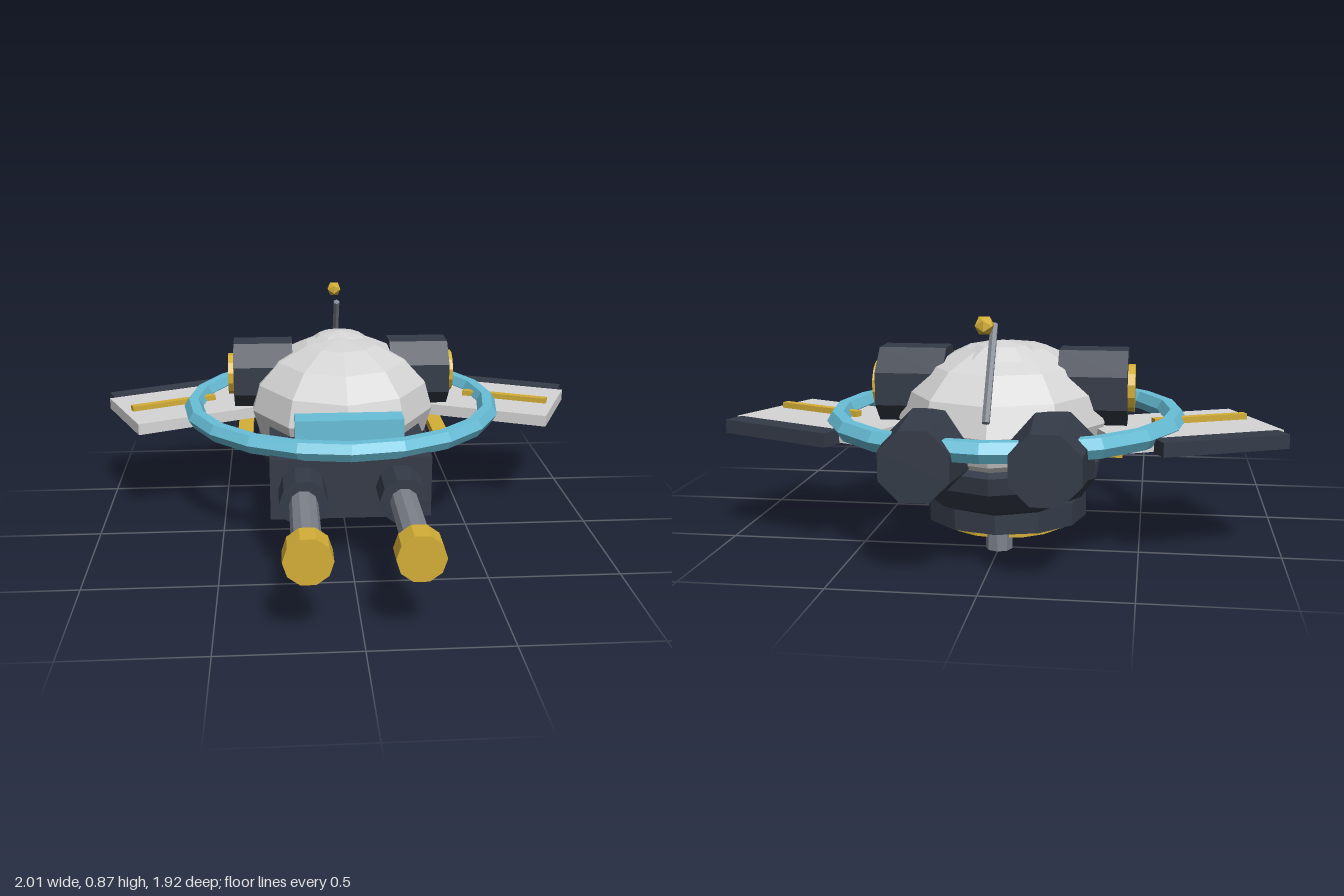
import * as THREE from 'three';

export function createModel() {
  const model = new THREE.Group();
  model.name = 'hoverCraft';

  const mat = (name, color) => {
    const m = new THREE.MeshStandardMaterial({ color, flatShading: true });
    m.name = name;
    return m;
  };
  const shell = mat('light grey', 0xd6d6d6);
  const dark = mat('dark slate', 0x343b48);
  const cyan = mat('cyan', 0x68bfd8);
  const gold = mat('gold', 0xd4af37);
  const steel = mat('steel grey', 0x7d828c);

  const add = (name, geometry, material, x, y, z, parent = model) => {
    const mesh = new THREE.Mesh(geometry, material);
    mesh.name = name;
    mesh.position.set(x, y, z);
    parent.add(mesh);
    return mesh;
  };
  const box = (w, h, d) => new THREE.BoxGeometry(w, h, d);
  const cyl = (rTop, rBottom, h, sides) => new THREE.CylinderGeometry(rTop, rBottom, h, sides);
  // Cylinder lying along z, with the first radius at the front
  const cylZ = (rFront, rBack, length, sides) =>
    cyl(rFront, rBack, length, sides).rotateY(Math.PI / sides).rotateX(Math.PI / 2);
  // Cylinder lying along x, with flat sides up and down
  const cylX = (r, length, sides) =>
    cyl(r, r, length, sides).rotateY(Math.PI / sides).rotateZ(Math.PI / 2);
  // Faceted ellipsoid with a vertex on the z axis
  const ellipsoid = (rx, ry, rz, rows) =>
    new THREE.SphereGeometry(1, 10, rows).rotateY(Math.PI / 2).scale(rx, ry, rz);

  // Upper shell and crown
  add('upperShell', ellipsoid(0.39, 0.27, 0.48, 8), shell, 0, 0.46, -0.32);
  add('crown', ellipsoid(0.18, 0.123, 0.2, 6), shell, 0, 0.62, -0.4);

  // Dark lower hull
  const profile = [[0, 0.14], [0.65, 0.15], [0.82, 0.18], [0.98, 0.26], [1, 0.32], [0.85, 0.35], [0, 0.35]];
  const hull = new THREE.LatheGeometry(profile.map(([r, y]) => new THREE.Vector2(r, y)), 10);
  hull.scale(0.37, 1, 0.44);
  add('lowerHull', hull, dark, 0, 0, -0.33);

  // Base ring, gold plate and three feet
  add('baseRing', cyl(0.3, 0.3, 0.085, 12), dark, 0, 0.122, -0.315);
  add('basePlate', cyl(0.225, 0.225, 0.05, 16), gold, 0, 0.07, -0.315);
  for (let i = 0; i < 3; i++) {
    const a = Math.PI / 6 + (i * Math.PI * 2) / 3;
    add('foot', cyl(0.048, 0.048, 0.07, 8), steel,
      0.195 * Math.cos(a), 0.035, -0.315 + 0.195 * Math.sin(a));
  }

  // Nose block and front visor
  add('noseBlock', box(0.61, 0.24, 0.49), dark, 0, 0.3, 0.075);
  add('visor', box(0.415, 0.1, 0.1), cyan, 0, 0.493, 0.193);

  // Surrounding ring
  const ring = new THREE.TorusGeometry(0.623, 0.04, 6, 20).rotateX(Math.PI / 2);
  add('ring', ring, cyan, 0, 0.449, -0.295);

  for (const s of [1, -1]) {
    // Front barrel
    const barrel = new THREE.Group();
    barrel.name = s > 0 ? 'leftBarrel' : 'rightBarrel';
    barrel.position.set(s * 0.183, 0.302, 0);
    model.add(barrel);
    add('sleeve', cylZ(0.09, 0.09, 0.2, 10), dark, 0, 0, 0.372, barrel);
    add('tube', cylZ(0.053, 0.053, 0.44, 10), steel, 0, 0, 0.66, barrel);
    add('muzzle', cylZ(0.084, 0.084, 0.095, 10), gold, 0, 0, 0.91, barrel);

    // Side pod with gold cap
    add('sidePod', cylX(0.153, 0.245, 8), dark, s * 0.327, 0.57, -0.36);
    add('sidePodCap', cylX(0.086, 0.03, 12), gold, s * 0.46, 0.57, -0.36);

    // Rear thruster
    add('thruster', cylZ(0.153, 0.127, 0.262, 8), dark, s * 0.21, 0.4, -0.82);

    // Gold rail beside the hull
    add('sideRail', box(0.062, 0.032, 0.33), gold, s * 0.405, 0.35, -0.295);

    // Wing, with its rear flap and gold strip
    const wing = new THREE.Group();
    wing.name = s > 0 ? 'leftWing' : 'rightWing';
    wing.position.set(s * 0.631, 0.423, -0.373);
    wing.rotation.y = -s * 0.415;
    model.add(wing);
    add('wingPlate', box(0.615, 0.046, 0.41), shell, 0, 0, 0, wing);
    add('wingFlap', box(0.468, 0.05, 0.08), dark, s * 0.05, 0, -0.246, wing);
    add('wingStrip', box(0.365, 0.025, 0.03), gold, s * 0.092, 0.032, 0.016, wing);
  }

  // Leaning antenna and its floating tip
  const mast = add('antenna', cyl(0.014, 0.014, 0.36, 6), steel, 0, 0.67, -0.705);
  mast.rotation.x = 0.57;
  add('antennaTip', new THREE.IcosahedronGeometry(0.034, 0), gold, 0, 0.84, -0.817);

  return model;
}
